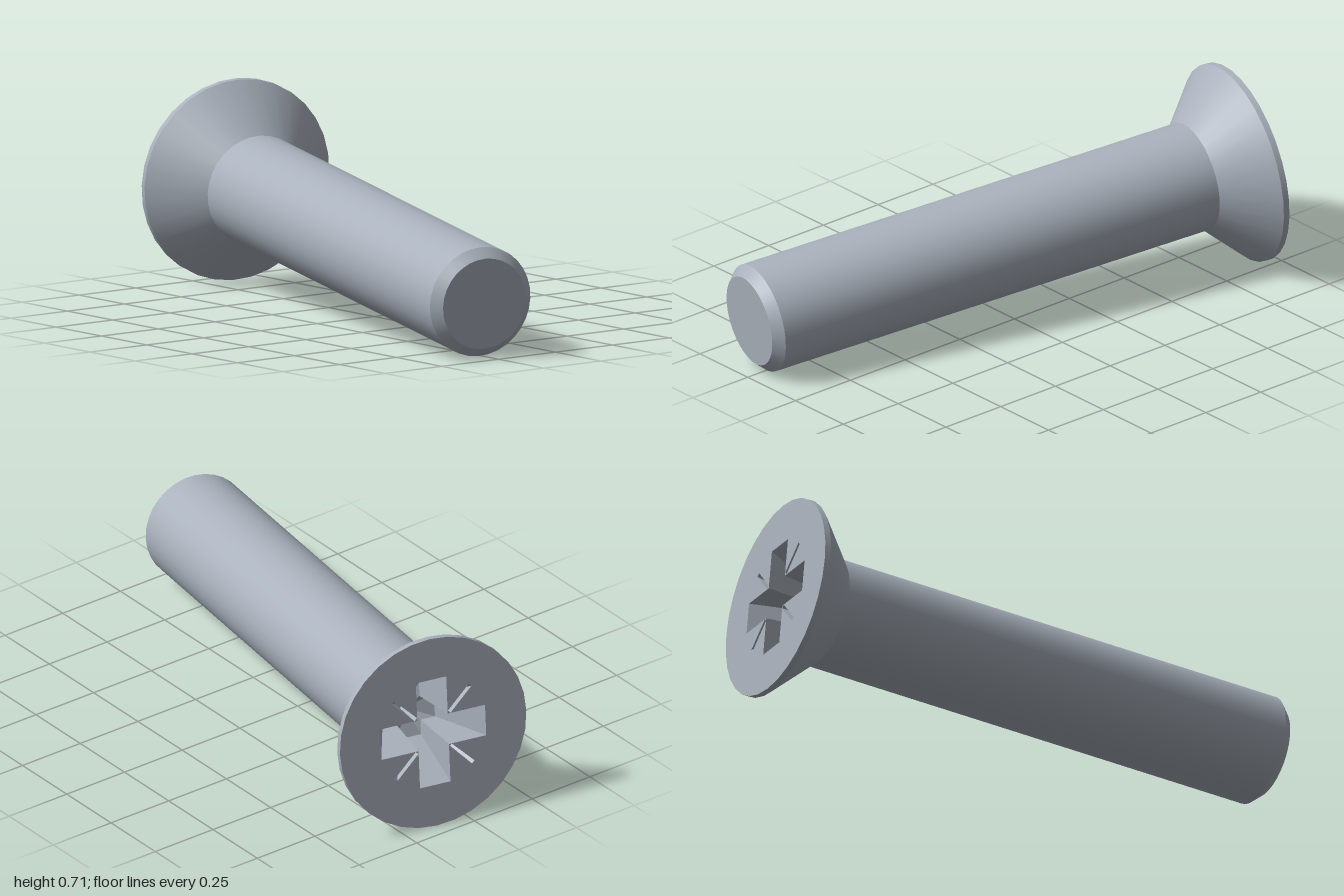
import * as THREE from 'three';

const SIDES = 32;
const HEAD_R = 0.355, SHANK_R = 0.193, TIP_R = 0.16;
const LENGTH = 1.933, HEAD_DEPTH = 0.184, RIM = 0.022, CHAMFER = 0.035;

// Repeat a list of [x, y] points four times around the centre
function fourfold(points, offset = 0) {
  const out = [];
  for (let k = 0; k < 4; k++) {
    for (const [x, y] of points) {
      out.push(new THREE.Vector2(x, y).rotateAround(new THREE.Vector2(), offset + k * Math.PI / 2));
    }
  }
  return out;
}

// Cross outline with arms of half width w reaching out to r
const cross = (r, w) => fourfold([[r, -w], [r, w], [w, w]]);

// Four thin diagonal rectangles, from r0 to r1
function slits(r0, r1, w) {
  const all = fourfold([[r0, -w], [r1, -w], [r1, w], [r0, w]], Math.PI / 4);
  return [0, 4, 8, 12].map((i) => all.slice(i, i + 4));
}

// Inward-facing pocket lofted from a rim outline down to a floor outline
function pocket(top, floor, depth, centreDepth = depth) {
  const pos = [];
  const n = top.length;
  const centre = new THREE.Vector2();
  floor.forEach((p) => centre.addScaledVector(p, 1 / n));
  const put = (p, z) => pos.push(p.x, p.y, z);
  for (let i = 0; i < n; i++) {
    const j = (i + 1) % n;
    put(top[j], 0); put(floor[j], -depth); put(floor[i], -depth);
    put(top[j], 0); put(floor[i], -depth); put(top[i], 0);
    put(centre, -centreDepth); put(floor[i], -depth); put(floor[j], -depth);
  }
  const geo = new THREE.BufferGeometry();
  geo.setAttribute('position', new THREE.Float32BufferAttribute(pos, 3));
  geo.computeVertexNormals();
  return geo;
}

export function createModel() {
  const steel = new THREE.MeshStandardMaterial({ color: 0xa9b1bc });
  steel.name = 'steel grey';

  const screw = new THREE.Group();
  screw.name = 'countersunkScrew';
  const add = (name, geo) => {
    const mesh = new THREE.Mesh(geo, steel);
    mesh.name = name;
    screw.add(mesh);
  };

  // Turned bands along the local z axis, each with its own sharp edges
  const band = (name, r0, z0, r1, z1) => {
    const geo = new THREE.LatheGeometry([new THREE.Vector2(r0, z0), new THREE.Vector2(r1, z1)], SIDES);
    add(name, geo.rotateX(Math.PI / 2));
  };
  band('tipFace', 0, -LENGTH, TIP_R, -LENGTH);
  band('tipChamfer', TIP_R, -LENGTH, SHANK_R, -LENGTH + CHAMFER);
  band('shank', SHANK_R, -LENGTH + CHAMFER, SHANK_R, -HEAD_DEPTH);
  band('headCone', SHANK_R, -HEAD_DEPTH, HEAD_R, -RIM);
  band('headRim', HEAD_R, -RIM, HEAD_R, 0);

  // Flat head face with openings for the driver recess
  const outline = [];
  for (let i = 0; i < SIDES; i++) {
    const a = i / SIDES * Math.PI * 2;
    outline.push(new THREE.Vector2(HEAD_R * Math.cos(a), HEAD_R * Math.sin(a)));
  }
  const crossTop = cross(0.2, 0.058);
  const slitTops = slits(0.09, 0.208, 0.007);
  const face = new THREE.Shape(outline);
  for (const hole of [crossTop, ...slitTops]) face.holes.push(new THREE.Path(hole));
  add('headFace', new THREE.ShapeGeometry(face));

  // Driver recess: tapered cross and four diagonal slits
  add('crossRecess', pocket(crossTop, cross(0.1, 0.045), 0.2, 0.225));
  const slitFloors = slits(0.09, 0.12, 0.006);
  slitTops.forEach((top, i) => add('diagonalSlit', pocket(top, slitFloors[i], 0.12)));

  // Lay the screw along its tilted axis, head face outward along local z
  const z = new THREE.Vector3(-0.9746, 0.0848, -0.2072).normalize();
  const x = new THREE.Vector3(0, 1, 0).cross(z).normalize();
  const y = z.clone().cross(x);
  screw.quaternion.setFromRotationMatrix(new THREE.Matrix4().makeBasis(x, y, z));
  screw.position.set(-0.92, 0.356, -0.118);

  const model = new THREE.Group();
  model.name = 'model';
  model.add(screw);
  return model;
}
